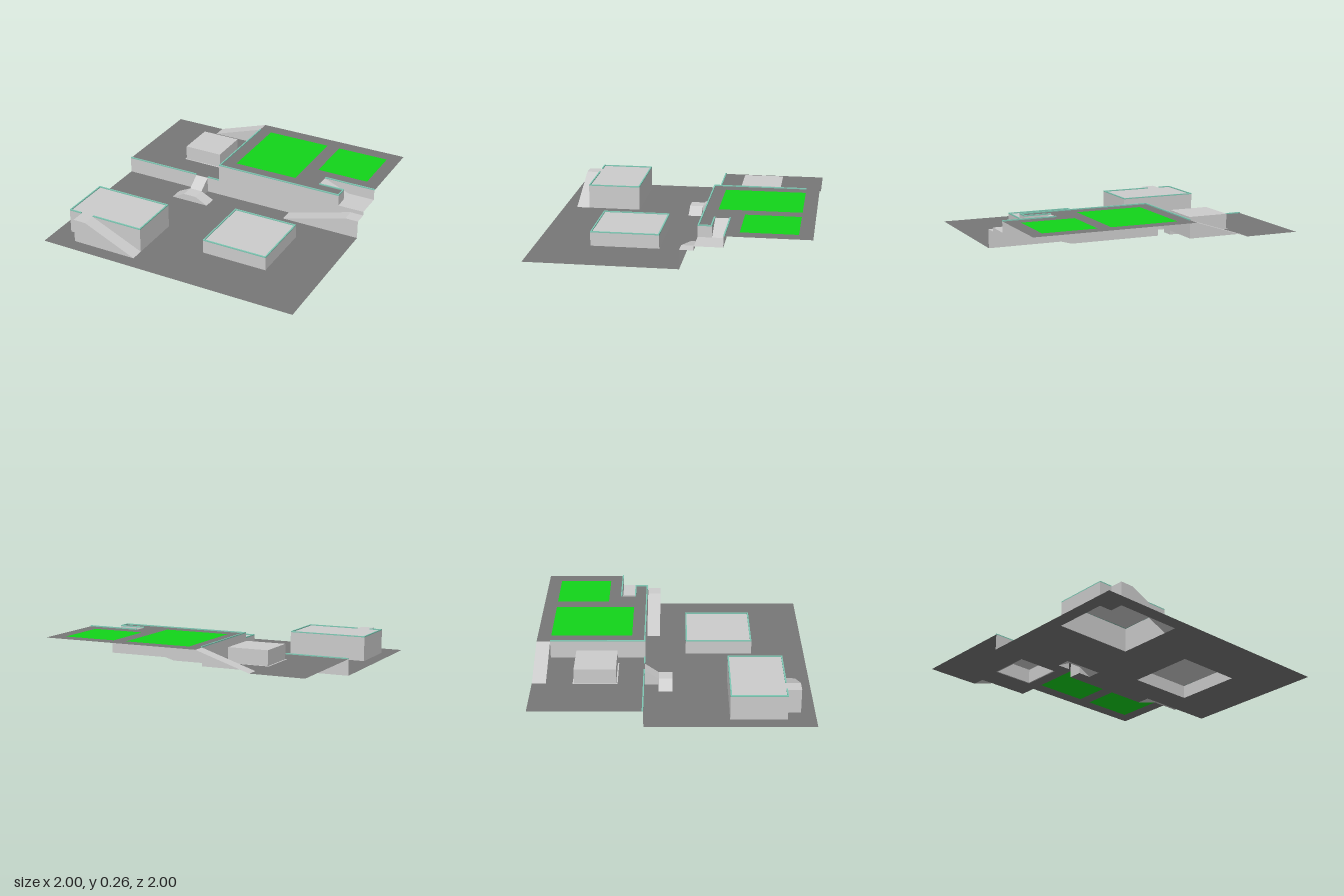
import * as THREE from 'three';

const material = (color) => new THREE.MeshStandardMaterial({ color, side: THREE.DoubleSide });

export function createModel() {
  const model = new THREE.Group();
  const stone = material(0xcccccc);
  const paving = material(0x777777);
  const grass = material(0x12d51a);
  const trim = material(0x7fc8b4);

  function add(parent, name, geometry, mat) {
    const mesh = new THREE.Mesh(geometry, mat);
    mesh.name = name;
    parent.add(mesh);
    return mesh;
  }
  function group(name) {
    const g = new THREE.Group();
    g.name = name;
    model.add(g);
    return g;
  }
  const points = (list) => list.map(([a, b]) => new THREE.Vector2(a, b));
  const rect = (x0, x1, z0, z1) => [[x0, z0], [x1, z0], [x1, z1], [x0, z1]];

  // Horizontal sheet from [x, z] corners, with holes
  function floor(parent, name, outline, y, mat, holes = []) {
    const flip = (list) => points(list.map(([x, z]) => [x, -z]));
    const shape = new THREE.Shape(flip(outline));
    shape.holes = holes.map((h) => new THREE.Path(flip(h)));
    const geometry = new THREE.ShapeGeometry(shape).rotateX(-Math.PI / 2).translate(0, y, 0);
    add(parent, name, geometry, mat);
  }
  // Upright sheet at a given z from [x, y] corners
  function wallAtZ(parent, name, z, outline) {
    add(parent, name, new THREE.ShapeGeometry(new THREE.Shape(points(outline))).translate(0, 0, z), stone);
  }
  // Upright sheet at a given x from [z, y] corners
  function wallAtX(parent, name, x, outline) {
    const shape = new THREE.Shape(points(outline.map(([z, y]) => [-z, y])));
    add(parent, name, new THREE.ShapeGeometry(shape).rotateY(Math.PI / 2).translate(x, 0, 0), stone);
  }
  // Walking surface following [x, y] points between two z values
  function ramp(parent, name, path, z0, z1) {
    const pos = [];
    for (let i = 0; i < path.length - 1; i++) {
      const [xa, ya] = path[i], [xb, yb] = path[i + 1];
      const a = [xa, ya, z0], b = [xa, ya, z1], c = [xb, yb, z1], d = [xb, yb, z0];
      pos.push(...a, ...b, ...c, ...a, ...c, ...d);
    }
    const geometry = new THREE.BufferGeometry();
    geometry.setAttribute('position', new THREE.Float32BufferAttribute(pos, 3));
    geometry.computeVertexNormals();
    return add(parent, name, geometry, stone);
  }
  // Low coloured kerb standing on an edge
  function kerb(parent, x0, x1, z0, z1, y) {
    const geometry = new THREE.BoxGeometry(x1 - x0, 0.008, z1 - z0);
    add(parent, 'kerb', geometry.translate((x0 + x1) / 2, y + 0.004, (z0 + z1) / 2), trim);
  }
  // Walls and roof of a plain block; front wall optional
  function block(parent, x0, x1, z0, z1, y0, y1, front = true) {
    for (const x of [x0, x1]) wallAtX(parent, 'sideWall', x, rect(z0, z1, y0, y1));
    wallAtZ(parent, 'backWall', z0, rect(x0, x1, y0, y1));
    if (front) wallAtZ(parent, 'frontWall', z1, rect(x0, x1, y0, y1));
    floor(parent, 'roof', rect(x0, x1, z0, z1), y1, stone);
  }

  const mid = 0.12, high = 0.25, t = 0.01;

  // Three ground levels, open under buildings and ramps
  const terrain = group('terrain');
  const lawns = [rect(-0.1, 0.4, -0.9, -0.3), rect(0.5, 0.9, -0.9, -0.5)];
  floor(terrain, 'lowerGround', [
    [-1, -0.2], [-0.4, -0.2], [-0.4, -0.1], [-0.5, -0.1], [-0.5, 0], [-0.2, 0], [-0.2, -0.1],
    [-0.3, -0.1], [-0.3, -0.2], [0.4, -0.2], [0.4, -0.1], [1, -0.1], [1, 1], [-1, 1],
  ], 0, paving, [
    rect(0.1, 0.6, 0.1, 0.6),
    [[-0.9, 0.4], [-0.3, 0.4], [-0.3, 0.9], [-0.8, 0.9], [-0.8, 0.8], [-0.9, 0.8]],
  ]);
  floor(terrain, 'middleTerrace', [
    [-1, -1], [-0.6, -1], [-0.6, -0.9], [-0.2, -0.9], [-0.2, -0.2], [-1, -0.2],
  ], mid, paving, [rect(-0.61, -0.29, -0.71, -0.39)]);
  floor(terrain, 'upperTerrace', [
    [-0.2, -1], [1, -1], [1, -0.4], [0.6, -0.4], [0.6, -0.3], [0.8, -0.3], [0.8, -0.2], [-0.2, -0.2],
  ], high, paving, lawns);
  lawns.forEach((l) => floor(terrain, 'lawn', l, high, grass));

  // Retaining walls
  wallAtZ(terrain, 'retainingWallRight', -0.2, rect(-1, -0.4, 0, mid));
  wallAtZ(terrain, 'retainingWall', -0.2, [
    [-0.3, 0], [-0.3, mid], [-0.2, mid], [-0.2, high], [0.8, high], [0.8, 0.17], [1, 0.17],
    [1, 0.14], [0.9, 0.14], [0.4, 0],
  ]);
  wallAtX(terrain, 'terraceWall', -0.2, rect(-0.9, -0.2, mid, high));

  // Kerbs along the terrace edges
  kerb(terrain, -1, -0.4, -0.2 - t, -0.2, mid);
  kerb(terrain, -0.3, -0.2, -0.2 - t, -0.2, mid);
  kerb(terrain, -0.2, 0.8, -0.2 - t, -0.2, high);
  kerb(terrain, -0.2, -0.2 + t, -0.9, -0.2, high);
  kerb(terrain, 0.8 - t, 0.8, -0.3, -0.2, high);
  kerb(terrain, 0.6, 0.8, -0.3, -0.3 + t, high);
  kerb(terrain, 0.6, 1, -0.4 - t, -0.4, high);

  // Tall building with a side ramp to its roof
  const tall = group('tallBuilding');
  const tallTop = 0.18;
  block(tall, -0.9, -0.3, 0.4, 0.8, 0, tallTop, false);
  wallAtZ(tall, 'frontWall', 0.8, rect(-0.9, -0.8, 0, tallTop));
  wallAtZ(tall, 'wallAboveRamp', 0.8, [[-0.7, tallTop], [-0.3, 0], [-0.3, tallTop]]);
  ramp(tall, 'roofRamp', [[-0.8, tallTop], [-0.7, tallTop], [-0.3, 0]], 0.8, 0.9);
  wallAtZ(tall, 'rampSide', 0.9, [[-0.8, 0], [-0.3, 0], [-0.7, tallTop], [-0.8, tallTop]]);
  wallAtX(tall, 'landingEnd', -0.8, rect(0.8, 0.9, 0, tallTop));
  kerb(tall, -0.9, -0.3, 0.4, 0.4 + t, tallTop);
  kerb(tall, -0.9, -0.9 + t, 0.4 + t, 0.8, tallTop);
  kerb(tall, -0.3 - t, -0.3, 0.4 + t, 0.8, tallTop);
  kerb(tall, -0.9 + t, -0.8, 0.8 - t, 0.8, tallTop);
  kerb(tall, -0.7, -0.3 - t, 0.8 - t, 0.8, tallTop);

  // Low building with a kerbed roof
  const low = group('lowBuilding');
  block(low, 0.1, 0.6, 0.1, 0.6, 0, 0.1);
  for (const e of [0.1, 0.6 - t]) {
    kerb(low, 0.1, 0.6, e, e + t, 0.1);
    kerb(low, e, e + t, 0.1 + t, 0.6 - t, 0.1);
  }

  // Pavilion on the middle terrace, with a border at its foot
  const pavilion = group('pavilion');
  block(pavilion, -0.6, -0.3, -0.7, -0.4, mid, 0.23);
  floor(pavilion, 'border', rect(-0.61, -0.29, -0.71, -0.39), mid, stone, [rect(-0.6, -0.3, -0.7, -0.4)]);

  // Ramp from the middle to the upper terrace
  const back = group('backRamp');
  ramp(back, 'rampSurface', [[-0.6, mid], [-0.2, high]], -1, -0.9);
  wallAtZ(back, 'rampSide', -0.9, [[-0.6, mid], [-0.2, mid], [-0.2, high]]);

  // Two-flight ramp from the lower ground to the upper terrace
  const turn = group('turningRamp');
  ramp(turn, 'firstFlight', [[0.4, 0], [0.9, 0.14], [1, 0.14]], -0.2, -0.1);
  wallAtZ(turn, 'firstFlightSide', -0.1, [[0.4, 0], [1, 0], [1, 0.14], [0.9, 0.14]]);
  floor(turn, 'landing', rect(0.8, 1, -0.4, -0.2), 0.17, stone);
  ramp(turn, 'secondFlight', [[0.6, high], [0.8, 0.17]], -0.4, -0.3);
  wallAtZ(turn, 'innerWall', -0.4, [[0.6, high], [0.8, 0.17], [1, 0.17], [1, high]]);
  wallAtZ(turn, 'flightWall', -0.3, [[0.6, high], [0.8, 0.17], [0.8, high]]);
  wallAtX(turn, 'landingWall', 0.8, rect(-0.3, -0.2, 0.17, high));

  // Double-sided approach and short flight up to the middle terrace
  const centre = group('centreRamp');
  const profile = [[-0.5, 0], [-0.4, 0.05], [-0.3, 0.05], [-0.2, 0]];
  ramp(centre, 'approach', profile, -0.1, 0);
  for (const z of [-0.1, 0]) {
    if (z === 0) wallAtZ(centre, 'approachSide', z, profile);
    else for (const [a, b] of [[-0.5, -0.4], [-0.2, -0.3]]) wallAtZ(centre, 'approachBack', z, [[a, 0], [b, 0], [b, 0.05]]);
  }
  const flight = ramp(centre, 'shortFlight', [[0.1, 0.05], [0.2, mid]], -0.4, -0.3);
  flight.rotation.y = Math.PI / 2;
  flight.position.x = 0;
  for (const x of [-0.4, -0.3]) wallAtX(centre, 'flightSide', x, [[-0.1, 0], [-0.1, 0.05], [-0.2, mid], [-0.2, 0]]);

  return model;
}
